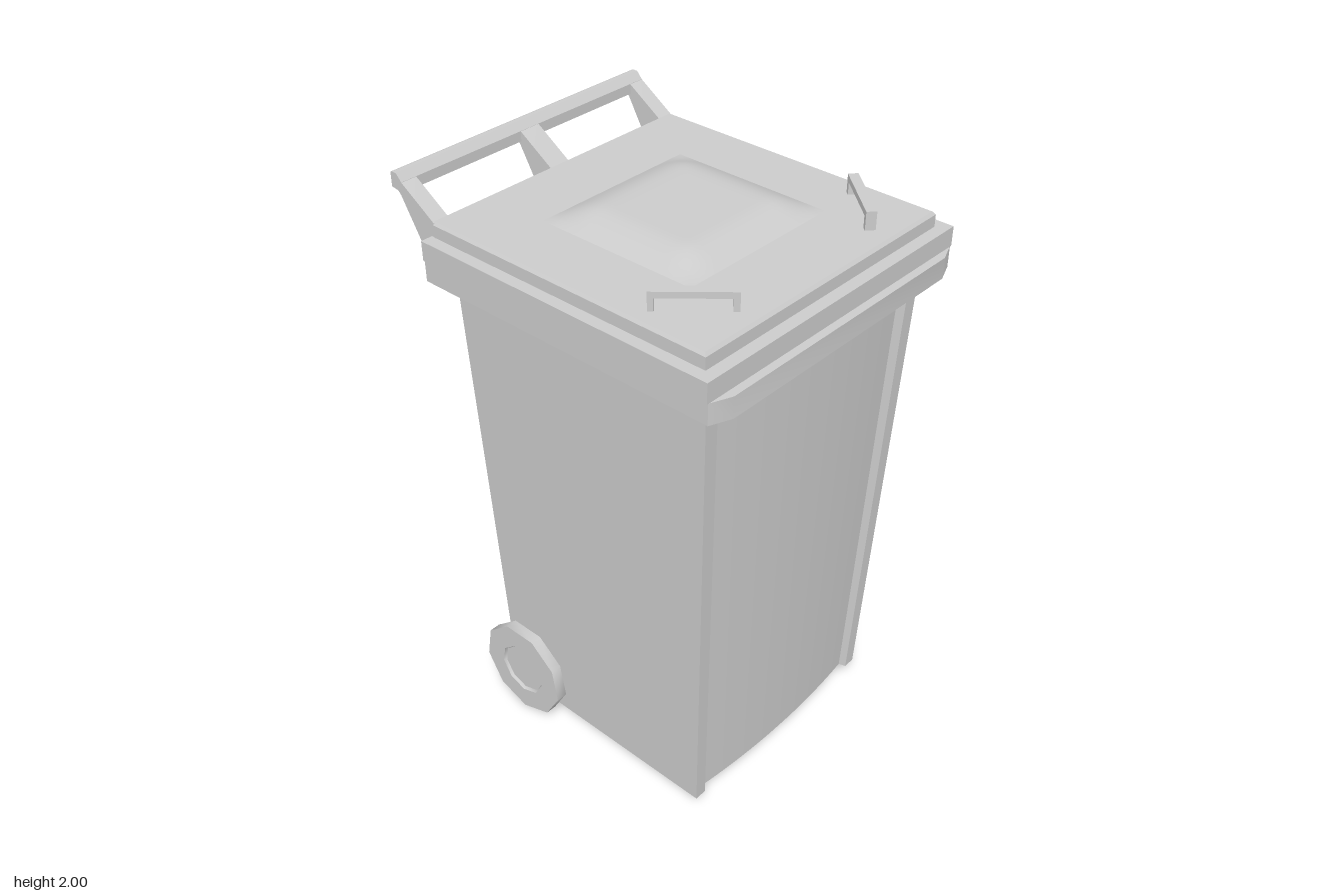
import * as THREE from 'three';
import { toCreasedNormals } from 'three/addons/utils/BufferGeometryUtils.js';

const material = new THREE.MeshStandardMaterial({ color: 0xcccccc });

function addMesh(parent, name, geometry, crease = 0.5) {
  const mesh = new THREE.Mesh(toCreasedNormals(geometry, crease), material);
  mesh.name = name;
  parent.add(mesh);
  return mesh;
}

// Upright slab from a half outline of [x, z] points (x > 0, front to back), mirrored
function slab(half, y0, y1) {
  const mirrored = half.map(([x, z]) => [-x, z]).reverse();
  const shape = new THREE.Shape([...half, ...mirrored].map(([x, z]) => new THREE.Vector2(x, -z)));
  const g = new THREE.ExtrudeGeometry(shape, { depth: y1 - y0, bevelEnabled: false });
  return g.rotateX(-Math.PI / 2).translate(0, y0, 0);
}

// Move every vertex by a rule
function deform(geometry, rule) {
  const p = geometry.attributes.position;
  const v = new THREE.Vector3();
  for (let i = 0; i < p.count; i++) {
    rule(v.fromBufferAttribute(p, i));
    p.setXYZ(i, v.x, v.y, v.z);
  }
  geometry.computeVertexNormals();
  return geometry;
}

// Profile of [z, y] points extruded along x, centred on x
function sideProfile(points, x, width) {
  const shape = new THREE.Shape(points.map(([z, y]) => new THREE.Vector2(-z, y)));
  const g = new THREE.ExtrudeGeometry(shape, { depth: width, bevelEnabled: false });
  return g.translate(0, 0, -width / 2).rotateY(Math.PI / 2).translate(x, 0, 0);
}

function box(w, h, d, x, y, z) {
  return new THREE.BoxGeometry(w, h, d).translate(x, y, z);
}

export function createModel() {
  const model = new THREE.Group();
  model.name = 'wheeledBin';

  // Tapered body: corner strips with a bowed front panel between them
  const outline = [];
  for (let i = 1; i <= 8; i++) {
    const x = (i / 8) * 0.385;
    outline.push([x, 0.5 - 0.024 * (x / 0.385) ** 2]);
  }
  outline.push([0.392, 0.5], [0.435, 0.5], [0.435, -0.36]);
  const body = deform(slab(outline, 0.065, 1.72), v => {
    const t = (v.y - 0.065) / 1.645;
    v.x *= 1 + 0.126 * t;
    v.z += t * THREE.MathUtils.lerp(-0.055, 0.06, (v.z + 0.36) / 0.86);
  });
  addMesh(model, 'body', body);

  // Rim around the top, with clipped front corners
  const rim = slab([[0.48, 0.645], [0.55, 0.617], [0.55, -0.48], [0.513, -0.48], [0.513, -0.468]], 1.71, 1.78);
  addMesh(model, 'rim', rim);

  // Lid: overhanging skirt and a raised plate with a narrow bevel
  const skirt = slab([[0.555, 0.618], [0.555, -0.48], [0.513, -0.48], [0.513, -0.468]], 1.78, 1.845);
  addMesh(model, 'lidSkirt', skirt);
  const plate = deform(slab([[0.515, 0.577], [0.515, -0.468]], 1.84, 1.885), () => {});
  addMesh(model, 'lidPlate', plate);
  const bevel = deform(slab([[0.515, 0.577], [0.515, -0.468]], 1.885, 1.895), v => {
    if (v.y > 1.89) {
      v.x -= Math.sign(v.x) * 0.008;
      v.z -= v.z > 0 ? 0.008 : 0;
    }
  });
  addMesh(model, 'lidTop', bevel);

  // Soft rectangular bulge in the middle of the lid
  const ramp = (half, at, w) => THREE.MathUtils.clamp((half - Math.abs(at)) / w, 0, 1);
  const bulge = deform(new THREE.PlaneGeometry(0.596, 0.57, 24, 24).rotateX(-Math.PI / 2), v => {
    const rise = Math.sin(ramp(0.298, v.x, 0.13) * Math.PI / 2) * Math.sin(ramp(0.285, v.z, 0.13) * Math.PI / 2);
    v.y = 1.896 + 0.043 * rise;
    v.z += 0.05;
  });
  addMesh(model, 'lidBulge', bulge, 1);

  // Rear push handle: three raked struts and a cross bar
  const handle = new THREE.Group();
  handle.name = 'rearHandle';
  model.add(handle);
  const strut = [[-0.465, 1.71], [-0.475, 1.71], [-0.605, 1.935], [-0.62, 1.95], [-0.62, 1.99], [-0.595, 1.975], [-0.465, 1.89]];
  for (const [x, w] of [[-0.485, 0.056], [0, 0.076], [0.485, 0.056]]) {
    addMesh(handle, 'handleStrut', sideProfile(strut, x, w), 0.2);
  }
  const bar = [[-0.597, 1.943], [-0.643, 1.95], [-0.643, 1.997], [-0.635, 2], [-0.618, 2], [-0.597, 1.977]];
  addMesh(handle, 'handleBar', sideProfile(bar, 0, 1.026), 0.2);

  for (const side of [1, -1]) {
    const label = side > 0 ? 'left' : 'right';

    // Slanted grip on a front corner of the lid
    const grip = new THREE.Group();
    grip.name = label + 'LidGrip';
    addMesh(grip, 'gripBar', box(0.245, 0.02, 0.032, 0, 0.05, 0));
    for (const end of [1, -1]) addMesh(grip, 'gripPost', box(0.018, 0.05, 0.032, end * 0.1135, 0.02, 0));
    grip.position.set(side * 0.371, 1.895, 0.41);
    grip.rotation.y = side * 0.85;
    model.add(grip);

    // Nine-sided wheel with a shallow hub recess
    const profile = [[0, -0.02], [0.18, -0.02], [0.18, 0.02], [0.098, 0.02], [0.092, 0.01], [0, 0.01]];
    const wheel = new THREE.LatheGeometry(profile.map(p => new THREE.Vector2(...p)), 9, Math.PI / 2);
    const mesh = addMesh(model, label + 'Wheel', wheel.rotateZ(-Math.PI / 2), 0.8);
    mesh.position.set(side * 0.467, 0.184, -0.275);
    if (side < 0) mesh.rotation.y = Math.PI;
  }
  return model;
}
